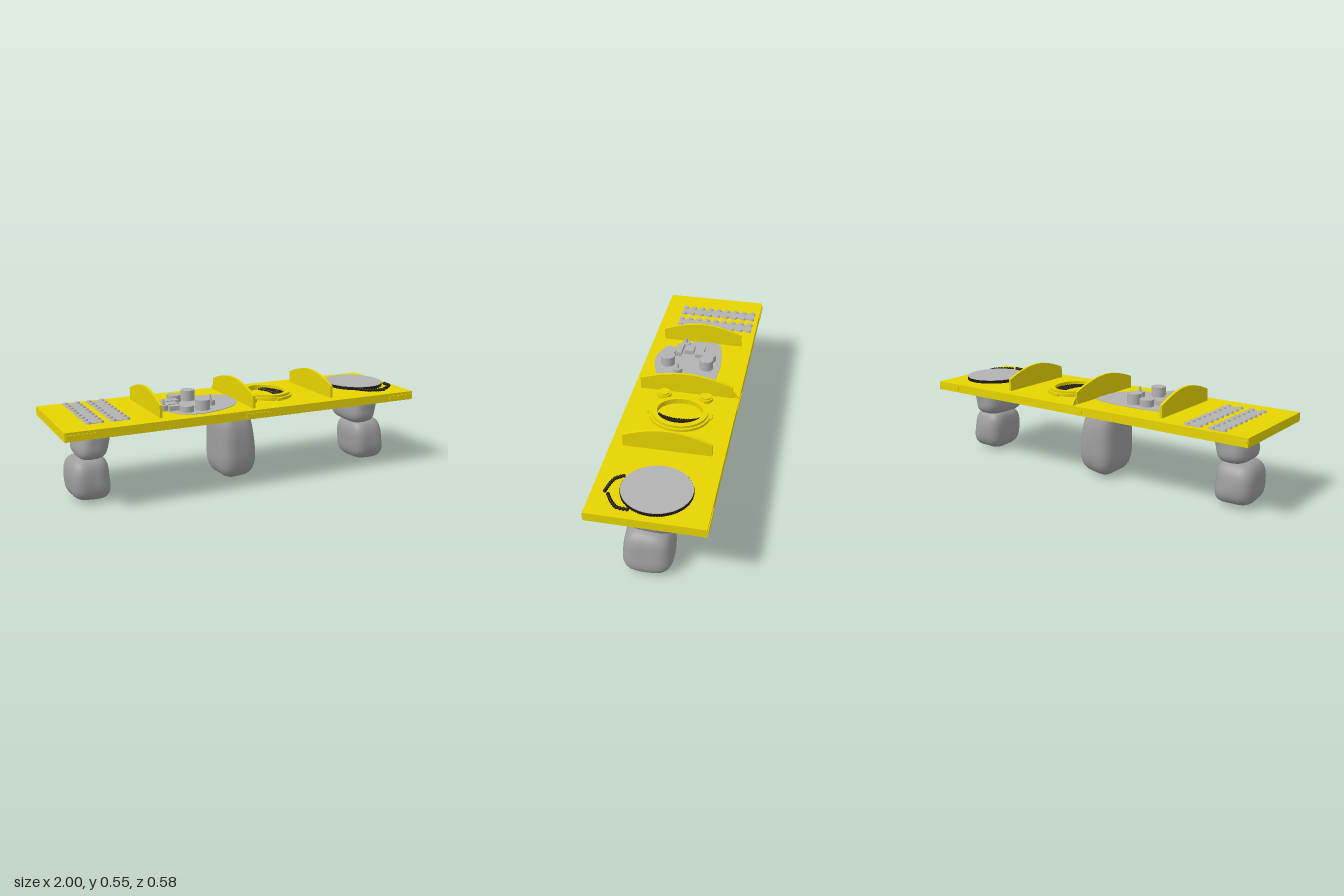
import * as THREE from 'three';
import { mergeVertices } from 'three/addons/utils/BufferGeometryUtils.js';

const yellow = new THREE.MeshStandardMaterial({ color: 0xe7d400 });
yellow.name = 'yellow panel';
const stone = new THREE.MeshStandardMaterial({ color: 0x9e9e9e });
stone.name = 'boulder grey';
const grey = new THREE.MeshStandardMaterial({ color: 0xb3b3b3 });
grey.name = 'light grey';
const dark = new THREE.MeshStandardMaterial({ color: 0x1e1c0c });
dark.name = 'dark beads';

const TOP = 0.435; // upper face of the slab

export function createModel() {
  const model = new THREE.Group();
  model.name = 'playTable';

  const add = (name, geometry, material, x = 0, y = 0, z = 0) => {
    const mesh = new THREE.Mesh(geometry, material);
    mesh.name = name;
    mesh.position.set(x, y, z);
    model.add(mesh);
    return mesh;
  };
  const box = (name, m, x, y, z, w, h, d) => add(name, new THREE.BoxGeometry(w, h, d), m, x, y, z);
  // upright cylinder standing on the slab
  const post = (name, m, x, z, r, h, rTop = r, sides = 24) =>
    add(name, new THREE.CylinderGeometry(rTop, r, h, sides), m, x, TOP + h / 2, z);
  // flat outline in x and z (shape y = -z), thickened upward
  const plate = (name, m, shape, y, depth) => {
    const g = new THREE.ExtrudeGeometry(shape, { depth, bevelEnabled: false, curveSegments: 32 });
    g.rotateX(-Math.PI / 2);
    return add(name, g, m, 0, y, 0);
  };

  // Rounded, slightly lumpy stone filling the given bounds
  const boulder = (name, [x0, x1], [y0, y1], [z0, z1], taper, lean, seed) => {
    let g = new THREE.SphereGeometry(1, 40, 28);
    g.deleteAttribute('uv');
    g.deleteAttribute('normal');
    g = mergeVertices(g, 1e-4);
    const p = g.attributes.position;
    const v = new THREE.Vector3();
    for (let i = 0; i < p.count; i++) {
      v.fromBufferAttribute(p, i);
      const n = 3.4;
      const k = (Math.abs(v.x) ** n + Math.abs(v.y) ** n + Math.abs(v.z) ** n) ** (-1 / n);
      const bump = 0.99 + 0.025 * Math.sin(3 * v.x + seed) * Math.cos(4 * v.z - seed)
        + 0.02 * Math.sin(4 * v.y + 2 * v.x + 2 * seed);
      v.multiplyScalar(k * bump);
      const s = 1 - taper * (v.y + 1) / 2;
      p.setXYZ(i,
        (x0 + x1) / 2 + (v.x * s + lean * v.y) * (x1 - x0) / 2,
        (y0 + y1) / 2 + v.y * (y1 - y0) / 2,
        (z0 + z1) / 2 + v.z * s * (z1 - z0) / 2);
    }
    g.computeVertexNormals();
    add(name, g, stone);
  };
  boulder('leftSupportLower', [0.73, 0.95], [0, 0.25], [-0.11, 0.148], 0.06, -0.06, 1);
  boulder('leftSupportUpper', [0.715, 0.89], [0.225, 0.395], [-0.138, 0.138], -0.1, 0, 2.2);
  boulder('middleSupport', [-0.127, 0.115], [0.003, 0.41], [-0.154, 0.152], 0.17, -0.05, 3.5);
  boulder('rightSupportLower', [-0.935, -0.715], [0.005, 0.235], [-0.125, 0.14], 0.08, 0, 4.4);
  boulder('rightSupportUpper', [-0.885, -0.715], [0.22, 0.395], [-0.12, 0.13], 0, 0.16, 5.3);

  // Table slab with thin edge plates
  box('slab', yellow, 0, 0.412, 0, 2, 0.046, 0.574);
  for (const z of [-0.288, 0.288]) {
    for (const x of [-0.92, 0.02, 0.92]) box('edgePlate', yellow, x, 0.41, z, 0.15, 0.022, 0.006);
  }

  // Arched dividers
  const divider = (x, half) => {
    const t = 0.014;
    const s = new THREE.Shape();
    s.moveTo(-half, 0);
    s.lineTo(half, 0);
    s.lineTo(half, 0.065);
    s.quadraticCurveTo(half * 0.45, 0.117, 0, 0.118);
    s.quadraticCurveTo(-half * 0.45, 0.117, -half, 0.065);
    s.closePath();
    const g = new THREE.ExtrudeGeometry(s, { depth: t, bevelEnabled: false, curveSegments: 16 });
    g.translate(0, 0, -t / 2);
    g.rotateY(-Math.PI / 2);
    add('divider', g, yellow, x, TOP, 0);
  };
  divider(-0.495, 0.225);
  divider(0.012, 0.249);
  divider(0.5, 0.225);
  // Thin brace behind the middle divider
  const brace = new THREE.Shape([[0.22, 0], [0.284, 0], [0.249, 0.045], [0.22, 0.065]].map(a => new THREE.Vector2(...a)));
  const braceGeo = new THREE.ExtrudeGeometry(brace, { depth: 0.004, bevelEnabled: false });
  braceGeo.rotateY(Math.PI / 2);
  add('dividerBrace', braceGeo, yellow, 0.01, TOP, 0);

  // Bead board: grey strips with rows of studs
  for (const x of [-0.82, -0.69]) box('studStrip', grey, x, TOP + 0.001, -0.04, 0.066, 0.004, 0.44);
  for (const x of [-0.853, -0.789, -0.725, -0.655]) {
    for (let i = 0; i < 9; i++) post('stud', grey, x, -0.246 + i * 0.052, 0.017, 0.011, 0.013, 10);
  }

  // Irregular pad carrying posts and blocks
  const padOutline = [[-0.485, -0.09], [-0.40, -0.125], [-0.25, -0.14], [-0.09, -0.125], [-0.005, -0.09],
    [0, 0.06], [-0.06, 0.15], [-0.14, 0.2], [-0.27, 0.235], [-0.37, 0.21], [-0.42, 0.12], [-0.485, 0.03]];
  const pad = new THREE.Shape();
  pad.setFromPoints(new THREE.CatmullRomCurve3(
    padOutline.map(([x, z]) => new THREE.Vector3(x, -z, 0)), true).getPoints(60)
    .map(p => new THREE.Vector2(p.x, p.y)));
  plate('pad', grey, pad, TOP - 0.001, 0.004);
  post('tallPost', grey, -0.23, -0.065, 0.038, 0.06);
  post('post', grey, -0.31, -0.068, 0.038, 0.04);
  post('post', grey, -0.33, 0.16, 0.037, 0.034);
  post('tallPost', grey, -0.24, 0.155, 0.04, 0.056);
  for (const x of [-0.43, -0.165]) {
    post('pegBase', grey, x, 0.085, 0.026, 0.03);
    post('pegTip', grey, x, 0.085, 0.015, 0.058, 0.004, 16);
  }
  box('block', grey, -0.362, TOP + 0.014, -0.008, 0.095, 0.028, 0.045);
  box('block', grey, -0.378, TOP + 0.014, 0.055, 0.066, 0.028, 0.052);
  box('block', grey, -0.362, TOP + 0.014, 0.112, 0.095, 0.028, 0.036);

  // Oval dish: stepped rim, two knobs, crescent of fine beads
  const oval = (rx, rz, hx, hz) => {
    const s = new THREE.Shape();
    s.absellipse(0.215, 0.005, rx, rz, 0, Math.PI * 2);
    const hole = new THREE.Path();
    hole.absellipse(0.215, 0.005, hx, hz, 0, Math.PI * 2);
    s.holes.push(hole);
    return s;
  };
  plate('dishFlange', yellow, oval(0.14, 0.16, 0.1, 0.12), TOP - 0.001, 0.016);
  plate('dishRim', yellow, oval(0.128, 0.148, 0.1, 0.12), TOP, 0.028);
  for (const z of [-0.165, 0.155]) box('dishTab', yellow, 0.215, TOP + 0.007, z, 0.03, 0.014, 0.02);
  for (const z of [-0.115, 0.11]) {
    post('knob', yellow, 0.06, z, 0.037, 0.018);
    post('knobCap', yellow, 0.06, z, 0.028, 0.026);
  }
  const bead = new THREE.IcosahedronGeometry(0.0075, 0);
  for (let ring = 0; ring < 7; ring++) {
    const k = 1 - ring * 0.1;
    for (let i = 0; i < 23; i++) {
      const a = ((i + ring % 2 * 0.5) / 22.5 - 0.5) * 2.7;
      add('crescentBead', bead, dark,
        0.225 + 0.088 * k * Math.cos(a), TOP + 0.006, -0.006 + 0.116 * Math.sin(a) * (1 - ring * 0.01));
    }
  }

  // Drum: dark toothed rim under a grey top
  const drum = new THREE.Group();
  drum.name = 'drum';
  drum.position.set(0.803, 0, -0.016);
  drum.scale.set(0.163, 1, 0.174);
  model.add(drum);
  const drumPart = (name, r, y, h, m) => {
    const mesh = new THREE.Mesh(new THREE.CylinderGeometry(r, r, h, 64), m);
    mesh.name = name;
    mesh.position.y = y;
    drum.add(mesh);
  };
  drumPart('drumBody', 0.98, TOP + 0.009, 0.018, dark);
  drumPart('drumSkin', 0.985, TOP + 0.0185, 0.003, grey);
  const tooth = new THREE.BoxGeometry(0.03, 0.017, 0.035);
  for (let i = 0; i < 96; i++) {
    const a = i / 96 * Math.PI * 2;
    const mesh = new THREE.Mesh(tooth, dark);
    mesh.name = 'rimTooth';
    mesh.position.set(0.98 * Math.cos(a), TOP + 0.009, 0.98 * Math.sin(a));
    mesh.rotation.y = -a;
    drum.add(mesh);
  }

  // Two loose bead chains beside the drum
  const chains = [
    [[0.95, 0.09], [0.945, 0.14], [0.91, 0.175], [0.87, 0.2]],
    [[0.735, 0.16], [0.76, 0.195], [0.80, 0.21], [0.85, 0.22]],
  ];
  const link = new THREE.IcosahedronGeometry(0.0095, 1);
  for (const pts of chains) {
    const curve = new THREE.CatmullRomCurve3(pts.map(([x, z]) => new THREE.Vector3(x, TOP + 0.01, z)));
    add('chainCord', new THREE.TubeGeometry(curve, 24, 0.004, 6), dark);
    for (const p of curve.getSpacedPoints(9)) add('chainBead', link, dark, p.x, p.y, p.z);
  }

  return model;
}
